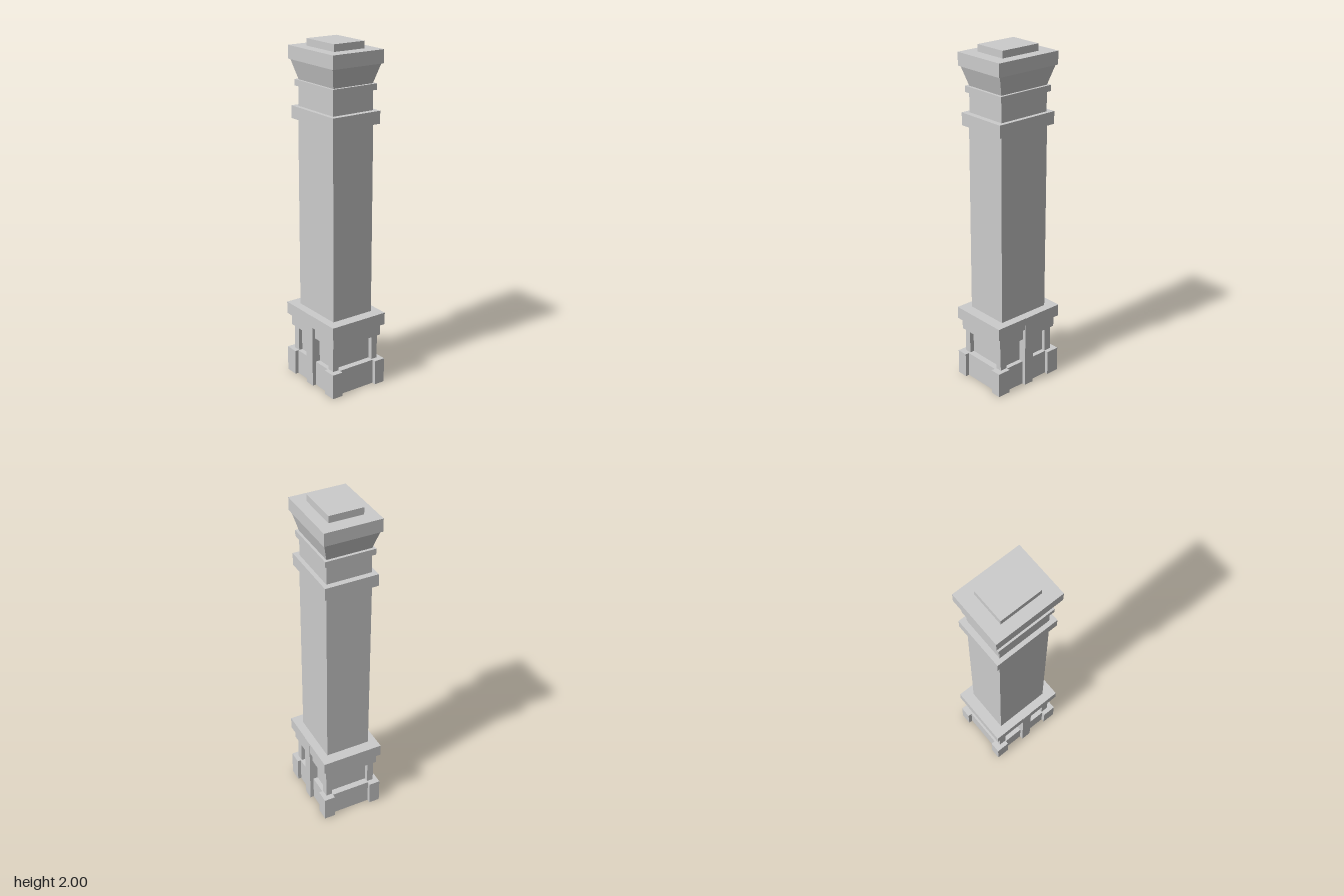
import * as THREE from 'three';

const material = new THREE.MeshStandardMaterial({ color: 0xcccccc, flatShading: true });

// Centred block given by half width, half depth and its height range
function block(name, hx, hz, y0, y1, x = 0, z = 0) {
  const mesh = new THREE.Mesh(new THREE.BoxGeometry(hx * 2, y1 - y0, hz * 2), material);
  mesh.name = name;
  mesh.position.set(x, (y0 + y1) / 2, z);
  return mesh;
}

// Block whose top is wider than its bottom
function flare(name, bottom, top, y0, y1) {
  const mesh = block(name, bottom[0], bottom[1], y0, y1);
  const p = mesh.geometry.attributes.position;
  for (let i = 0; i < p.count; i++) {
    if (p.getY(i) > 0) {
      p.setX(i, Math.sign(p.getX(i)) * top[0]);
      p.setZ(i, Math.sign(p.getZ(i)) * top[1]);
    }
  }
  mesh.geometry.computeVertexNormals();
  return mesh;
}

export function createModel() {
  const model = new THREE.Group();
  model.name = 'pillar';

  // Pedestal: recessed panels, mouldings and slab
  const base = new THREE.Group();
  base.name = 'pedestal';
  base.add(
    block('plinthPanel', 0.207, 0.163, 0, 0.15),
    block('pedestalCore', 0.168, 0.135, 0.15, 0.30),
    block('pedestalMoulding', 0.21, 0.167, 0.30, 0.37),
    block('pedestalSlab', 0.231, 0.184, 0.37, 0.442)
  );

  // Corner feet and the posts standing on them
  for (const sx of [-1, 1]) {
    for (const sz of [-1, 1]) {
      base.add(
        block('cornerFoot', 0.04, 0.033, 0, 0.15, sx * 0.191, sz * 0.151),
        block('cornerPost', 0.0225, 0.0195, 0.15, 0.30, sx * 0.1725, sz * 0.1375)
      );
    }
  }

  // Vertical strips on the front and back
  for (const sz of [-1, 1]) {
    base.add(block('centreStrip', 0.031, 0.03, 0, 0.442, 0, sz * 0.1555));
  }
  model.add(base);

  // Shaft and neck
  model.add(
    block('shaft', 0.165, 0.134, 0.442, 1.555),
    block('shaftBand', 0.196, 0.157, 1.555, 1.627),
    block('neck', 0.162, 0.132, 1.627, 1.74)
  );

  // Capital
  model.add(
    block('collar', 0.179, 0.146, 1.74, 1.775),
    flare('capitalFlare', [0.162, 0.131], [0.197, 0.16], 1.775, 1.885),
    block('capitalSlab', 0.208, 0.167, 1.885, 1.96),
    block('topCap', 0.126, 0.1, 1.96, 2)
  );
  return model;
}
